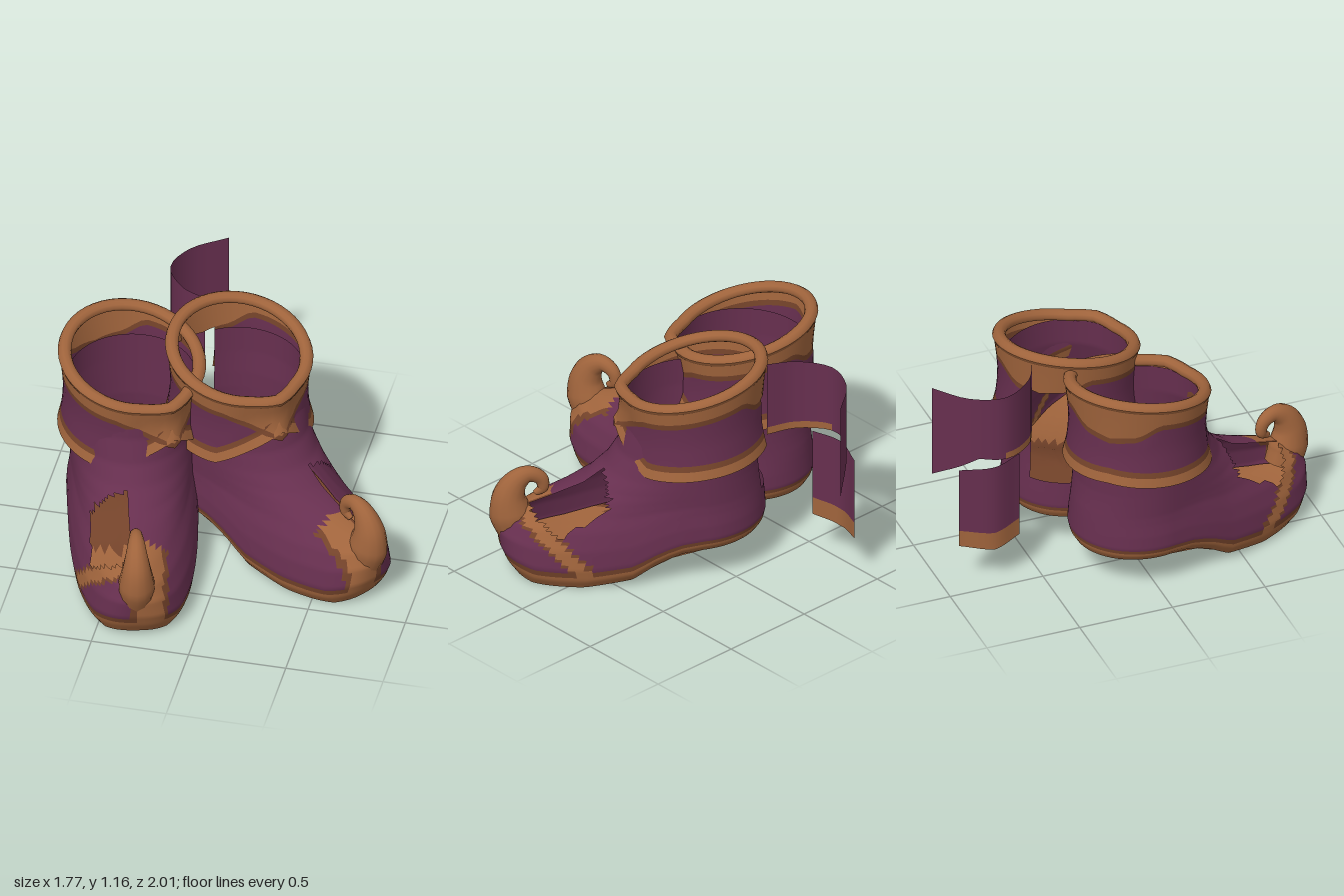
import * as THREE from 'three';

const mat = (name, color) => Object.assign(
  new THREE.MeshStandardMaterial({ color, side: THREE.DoubleSide }), { name });
const PURPLE = 0, BROWN = 1, DARK = 2, HOLE = -1;

// Linear lookup in a table of rows [key, a, b, ...]
function lookup(rows, key) {
  let i = 1;
  while (i < rows.length - 1 && rows[i][0] < key) i++;
  const p = rows[i - 1], q = rows[i];
  const k = THREE.MathUtils.clamp((key - p[0]) / (q[0] - p[0]), 0, 1);
  return p.map((n, j) => n + (q[j] - n) * k);
}

// Surface from point(u, v), u and v in 0..1; pick() gives each cell's colour or HOLE
function surface(name, mats, nu, nv, closed, point, pick) {
  const cols = closed ? nu : nu + 1, pos = [], sets = [[], [], []];
  for (let j = 0; j <= nv; j++) {
    for (let i = 0; i < cols; i++) pos.push(...point(i / nu, j / nv));
  }
  for (let j = 0; j < nv; j++) {
    for (let i = 0; i < nu; i++) {
      const u = (i + 0.5) / nu, v = (j + 0.5) / nv;
      const c = pick(u, v, point(u, v));
      if (c === HOLE) continue;
      const n = (i + 1) % cols;
      const a = j * cols + i, b = j * cols + n, d = a + cols, e = b + cols;
      sets[c].push(a, b, e, a, e, d);
    }
  }
  const g = new THREE.BufferGeometry();
  g.setAttribute('position', new THREE.Float32BufferAttribute(pos, 3));
  g.setIndex(sets.flat());
  let start = 0;
  sets.forEach((s, k) => {
    if (s.length) g.addGroup(start, s.length, k);
    start += s.length;
  });
  g.computeVertexNormals();
  const mesh = new THREE.Mesh(g, mats);
  mesh.name = name;
  return mesh;
}

// Underside height along the foot: raised heel, low ball, lifted toe
const SOLE = [[-0.4, 0.21], [0.08, 0.19], [0.22, 0.14], [0.36, 0.05], [0.6, 0.01], [0.85, 0.01], [1, 0.06]];
// Level, back reach, front reach, half width, roundness
const RINGS = [
  [0, 0.33, 0.92, 0.29, 0.75], [0.05, 0.35, 0.96, 0.32, 0.75], [0.12, 0.36, 0.99, 0.33, 0.76],
  [0.22, 0.355, 1.0, 0.325, 0.86], [0.31, 0.35, 0.97, 0.315, 1.02], [0.38, 0.345, 0.88, 0.31, 1.2],
  [0.43, 0.34, 0.73, 0.31, 1.15], [0.49, 0.335, 0.57, 0.31, 1.05], [0.57, 0.33, 0.46, 0.31, 1],
  [0.67, 0.33, 0.39, 0.31, 1], [0.8, 0.33, 0.35, 0.32, 1], [0.95, 0.33, 0.34, 0.32, 1]];
const spow = (n, p) => Math.sign(n) * Math.abs(n) ** p;

function footPoint(angle, level, shrink = 1) {
  const [, back, front, w, p] = lookup(RINGS, level);
  const c = Math.cos(angle), s = Math.sin(angle);
  const z = (c > 0 ? front * spow(c, p) : back * c) * shrink;
  const x = w * (c > 0 ? spow(s, p) : s) * shrink;
  return [x, level + lookup(SOLE, z)[1] * Math.max(0, 1 - level / 0.6), z];
}

// Curled toe: z, y, radius
const CURL = [[0, 0.9, 0.24, 0.1], [1, 0.935, 0.34, 0.108], [2, 0.94, 0.44, 0.085], [3, 0.9, 0.52, 0.06],
  [4, 0.84, 0.55, 0.043], [5, 0.78, 0.52, 0.036], [6, 0.77, 0.465, 0.03], [7, 0.81, 0.435, 0.015]];
const curlLine = new THREE.CatmullRomCurve3(CURL.map(([, z, y]) => new THREE.Vector3(0, y, z)));

function curlPoint(u, v) {
  const a = u * Math.PI * 2, r = lookup(CURL, v * 7)[3];
  const c = curlLine.getPoint(v), t = curlLine.getTangent(v);
  const k = Math.cos(a) * r;
  return [Math.sin(a) * r * 0.85, c.y - t.z * k, c.z + t.y * k];
}

// Cuff heights by angle from its pointed front
const HEM = [[0, 0.79], [0.35, 0.71], [0.9, 0.61], [1.8, 0.65], [Math.PI, 0.69]];
const BAND = [[0, 0.2], [0.45, 0.12], [0.8, 0.08], [2.4, 0.09], [2.7, 0.17], [Math.PI, 0.2]];
const FLARE = [[0, 0.375], [0.25, 0.35], [0.6, 0.345], [1, 0.365]];
const cuffTop = a => 1.055 - 0.085 * Math.cos(a);

function makeBoot(mats, name, x, z, turn, outer, torn) {
  const boot = new THREE.Group();
  boot.name = name;
  boot.position.set(x, 0, z);
  const foot = new THREE.Group();
  foot.name = name + 'Foot';
  foot.rotation.y = turn;
  boot.add(foot);
  const TAU = Math.PI * 2;
  const inTear = angle => {
    const d = THREE.MathUtils.euclideanModulo(THREE.MathUtils.radToDeg(angle), 360);
    return torn && d > 215 && d < 258;
  };

  // Shaft and upper, with sole band, toe trims and the opening on the outer side
  foot.add(surface('upper', mats, 112, 64, true,
    (u, v) => footPoint(u * TAU, v * 0.95),
    (u, v, [px, py, pz]) => {
      const level = v * 0.95, side = px * outer;
      if (level > 0.33 && inTear(u * TAU + turn)) return HOLE;
      if (level < 0.08) return BROWN;
      const trim = Math.abs(pz - 0.5 - py) * 0.7;
      if (side > 0.02 && py < 0.47 && pz > 0.55 && trim < 0.032) return BROWN;
      if (side > 0.03 && py > 0.24 && pz > 0.47 && pz < 0.47 + py && side < 0.22) return HOLE;
      const keel = pz > 0.72 ? Math.abs(side + 0.06) : 1;
      if (keel < 0.075) return BROWN;
      if (level < 0.11 || keel < 0.1) return DARK;
      return side > 0.02 && py < 0.47 && pz > 0.55 && trim < 0.05 ? DARK : PURPLE;
    }));
  foot.add(surface('sole', mats, 64, 12, true,
    (u, v) => footPoint(u * TAU, 0, v), () => BROWN));
  foot.add(surface('insole', mats, 64, 10, true,
    (u, v) => footPoint(-u * TAU, 0.12, v * 0.97),
    (u, v, p) => (p[2] > 0.42 ? BROWN : DARK)));
  foot.add(surface('toeCurl', mats, 14, 36, true, curlPoint, () => BROWN));

  // Folded cuff made of stacked bands, point turned to the front corner
  const edges = [
    a => lookup(HEM, a)[1],
    a => lookup(HEM, a)[1] + 0.05,
    a => lookup(HEM, a)[1] + 0.08,
    a => cuffTop(a) - lookup(BAND, a)[1] - 0.03,
    a => cuffTop(a) - lookup(BAND, a)[1],
    cuffTop];
  const colours = [BROWN, DARK, PURPLE, DARK, BROWN];
  const fold = u => Math.abs(u > 0.5 ? u - 1 : u) * TAU;
  const cuffPoint = (a, y, angle) => {
    const low = lookup(HEM, a)[1], k = (y - low) / (cuffTop(a) - low);
    const r = lookup(FLARE, k)[1] + 0.03 * Math.max(0, 1 - a / 0.4);
    return [Math.sin(angle) * r, y, Math.cos(angle) * r];
  };
  colours.forEach((colour, i) => {
    boot.add(surface('cuffBand' + (i + 1), mats, 64, 3, true, (u, v) => {
      const a = fold(u), top = cuffTop(a);
      const lo = Math.min(edges[i](a), top), hi = Math.max(lo, edges[i + 1](a));
      return cuffPoint(a, lo + (hi - lo) * v, u * TAU + Math.PI / 4);
    }, u => (i < 4 && inTear(u * TAU + Math.PI / 4) ? HOLE : colour)));
  });

  // Rolled rim
  boot.add(surface('rim', mats, 48, 10, true, (u, v) => {
    const a = fold(u), angle = u * TAU + Math.PI / 4, b = v * TAU;
    const r = 0.338 + 0.03 * Math.max(0, 1 - a / 0.4) + 0.034 * Math.cos(b);
    return [Math.sin(angle) * r, cuffTop(a) + 0.03 * Math.sin(b), Math.cos(angle) * r];
  }, () => BROWN));
  return boot;
}

// Loose cloth following a plan path [x, z], between two height rules
function cloth(name, mats, path, low, high, pick) {
  const line = new THREE.CatmullRomCurve3(path.map(([x, z]) => new THREE.Vector3(x, 0, z)));
  return surface(name, mats, 16, 10, false, (u, v) => {
    const p = line.getPoint(u), a = low(u);
    return [p.x, a + (high(u) - a) * v, p.z];
  }, pick);
}

export function createModel() {
  const mats = [mat('purple cloth', 0x672f4f), mat('brown trim', 0xa0643c), mat('dark brown edging', 0x74432a)];
  const model = new THREE.Group();
  model.name = 'pairOfBoots';
  model.add(makeBoot(mats, 'rightBoot', -0.52, 0.0, 0.25, -1, false));
  model.add(makeBoot(mats, 'leftBoot', -0.01, -0.18, 0.99, 1, true));

  // Torn strips trailing behind the left boot
  const tear = new THREE.Group();
  tear.name = 'tornStrips';
  tear.add(cloth('cuffStrip', mats,
    [[-0.25, -0.46], [-0.38, -0.53], [-0.48, -0.69], [-0.42, -0.86], [-0.25, -1]],
    u => (u < 0.7 ? 0.72 + 0.06 * u : 0.76 - 0.55 * (u - 0.7)), u => 1.13 - 0.02 * u,
    (u, v) => (u < 0.5 && v < 0.12 ? BROWN : PURPLE)));
  tear.add(cloth('shaftStrip', mats,
    [[-0.43, -0.6], [-0.48, -0.75], [-0.42, -0.92]],
    u => 0.22 + 0.05 * Math.abs(u - 0.5), u => 0.73 - 0.03 * u,
    (u, v) => (v < 0.2 ? BROWN : PURPLE)));
  model.add(tear);
  return model;
}
